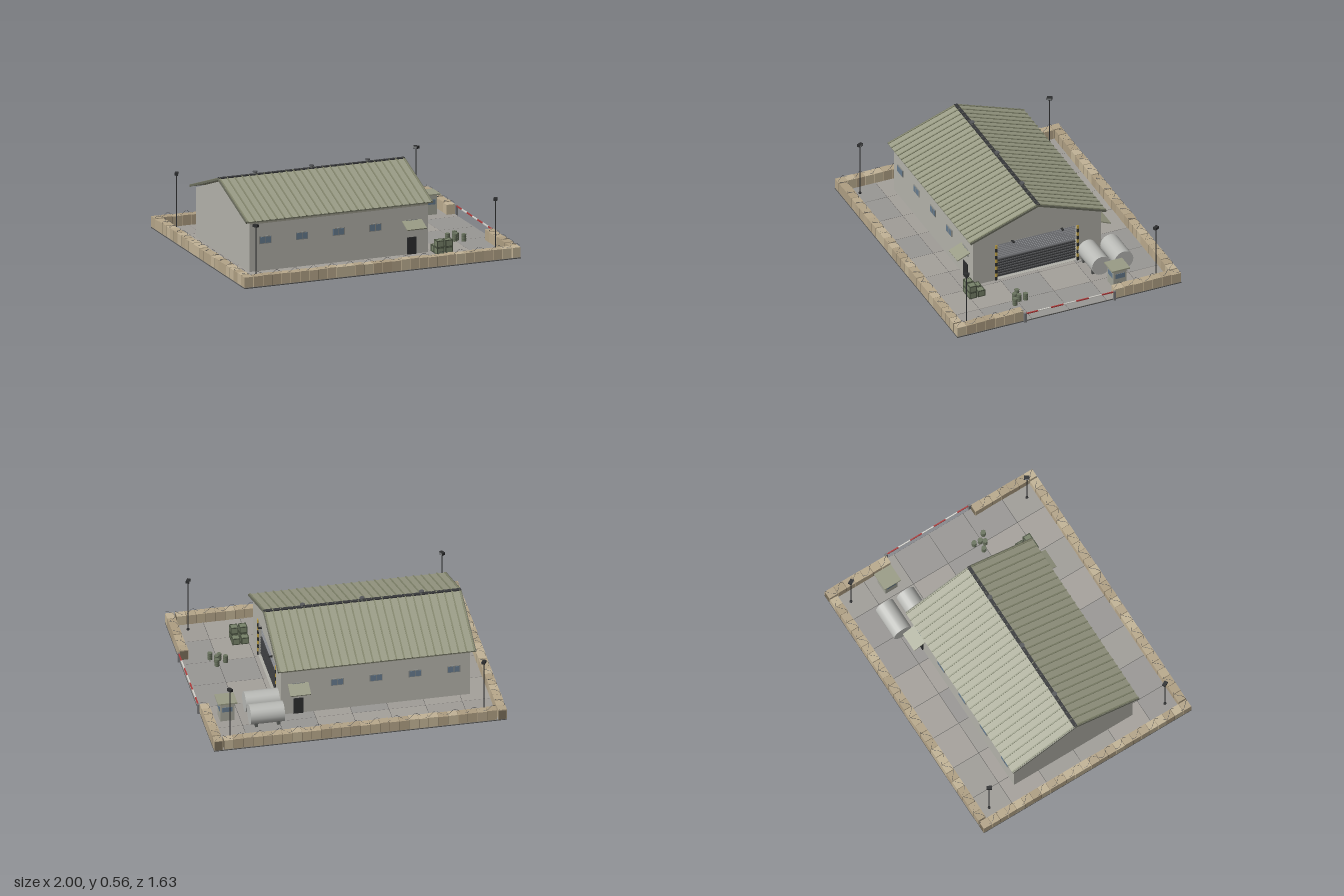
import * as THREE from 'three';

const mats = {};
const mat = (color) => (mats[color] ??= new THREE.MeshStandardMaterial({ color, side: THREE.DoubleSide }));
const TAN = [0xb9a98c, 0xae9e82, 0xc2b396, 0xb4a488];
const OLIVE = 0x9a9c86, DARK = 0x2c2d2e, WALL = 0xb3b2aa, GLASS = 0x667b8e, GREEN = 0x78836a, STEEL = 0xb9bab6;
const FLOOR = 0.008;

let seed = 7;
const rand = () => (seed = (seed * 16807) % 2147483647) / 2147483647;

function add(parent, name, geo, color, x = 0, y = 0, z = 0) {
  const m = new THREE.Mesh(geo, mat(color));
  m.name = name;
  m.position.set(x, y, z);
  parent.add(m);
  return m;
}
const box = (p, name, w, h, d, x, y, z, c) => add(p, name, new THREE.BoxGeometry(w, h, d), c, x, y, z);
const cyl = (p, name, r, h, x, y, z, c, n = 12) => add(p, name, new THREE.CylinderGeometry(r, r, h, n), c, x, y, z);
function group(parent, name, x = 0, y = 0, z = 0) {
  const g = new THREE.Group();
  g.name = name;
  g.position.set(x, y, z);
  parent.add(g);
  return g;
}

// Paved slab
function ground(root) {
  const g = group(root, 'ground');
  box(g, 'slab', 1.985, 0.006, 1.63, -0.0075, 0.003, 0, 0x555553);
  const nx = 8, nz = 6, w = 1.985 / nx, d = 1.63 / nz;
  for (let i = 0; i < nx; i++) for (let j = 0; j < nz; j++)
    box(g, 'pavingTile', w - 0.003, 0.004, d - 0.003, -1 + w * (i + 0.5), 0.006, -0.815 + d * (j + 0.5),
      [0xa09d98, 0x999794, 0xa5a19b][Math.floor(rand() * 3)]);
}

// Run of earth-filled blocks topped with a coil of wire
function barrier(root, name, x, z, length, alongX) {
  const g = group(root, name, x, 0, z);
  if (!alongX) g.rotation.y = Math.PI / 2;
  const n = Math.round(length / 0.066), step = length / n;
  for (let i = 0; i < n; i++) {
    const h = 0.068 + rand() * 0.006;
    const cx = -length / 2 + step * (i + 0.5);
    box(g, 'barrierBlock', step - 0.003, h, 0.056 + rand() * 0.004, cx, FLOOR + h / 2, 0, TAN[Math.floor(rand() * 4)]);
    box(g, 'blockSeam', 0.004, 0.066, 0.053, cx + step / 2 - 0.002, FLOOR + 0.033, 0, 0x776c58);
  }
  const pts = [], turns = Math.round(length / 0.13);
  for (let i = 0; i <= turns * 6; i++) {
    const a = (i / 6) * Math.PI * 2;
    pts.push(new THREE.Vector3(-length / 2 + (length * i) / (turns * 6), 0.088 + 0.012 * Math.sin(a), 0.024 * Math.cos(a)));
  }
  add(g, 'wireCoil', new THREE.TubeGeometry(new THREE.CatmullRomCurve3(pts), turns * 12, 0.0012, 4), 0x555555);
}

function gableShape() {
  const s = new THREE.Shape();
  s.moveTo(-0.465, FLOOR); s.lineTo(0.465, FLOOR); s.lineTo(0.465, 0.352);
  s.lineTo(0, 0.518); s.lineTo(-0.465, 0.352); s.closePath();
  return s;
}
function gableBlock(g, name, x0, x1, hole) {
  const s = gableShape();
  if (hole) s.holes.push(hole);
  const geo = new THREE.ExtrudeGeometry(s, { depth: x1 - x0, bevelEnabled: false });
  geo.rotateY(Math.PI / 2);
  add(g, name, geo, WALL, x0, 0, 0);
}

function hangar(root) {
  const g = group(root, 'hangar');
  // Walls and door opening
  const hole = new THREE.Path();
  hole.moveTo(-0.29, 0.009); hole.lineTo(-0.29, 0.285); hole.lineTo(0.29, 0.285); hole.lineTo(0.29, 0.009); hole.closePath();
  gableBlock(g, 'mainWalls', -0.82, 0.425);
  gableBlock(g, 'doorWall', 0.425, 0.46, hole);

  // Roller door: fine slats above, heavy ribs below
  box(g, 'rollerDoor', 0.006, 0.277, 0.58, 0.43, 0.147, 0, 0x8d8f93);
  for (let i = 0; i < 9; i++) box(g, 'doorSlat', 0.006, 0.012, 0.58, 0.435, 0.166 + i * 0.0138, 0, 0x9a9ca0);
  for (let i = 0; i < 7; i++) box(g, 'doorRib', 0.012, 0.009, 0.58, 0.438, 0.026 + i * 0.02, 0, 0x3c3d3f);
  // Hazard striping and door lamps
  for (const s of [-1, 1]) {
    for (let i = 0; i < 10; i++)
      box(g, 'hazardStripe', 0.01, 0.0277, 0.014, 0.461, FLOOR + 0.0277 * (i + 0.5), s * 0.297, i % 2 ? 0xc4a548 : DARK);
    box(g, 'doorLamp', 0.028, 0.008, 0.014, 0.472, 0.29, s * 0.18, DARK);
  }

  // Side windows, doors and canopies
  for (const s of [-1, 1]) {
    const side = group(g, s > 0 ? 'frontSide' : 'backSide');
    for (let i = 0; i < 5; i++) {
      const x = -0.71 + i * 0.2635;
      box(side, 'windowFrame', 0.088, 0.052, 0.008, x, 0.22, s * 0.467, 0x8c8d88);
      box(side, 'windowPane', 0.078, 0.042, 0.01, x, 0.22, s * 0.468, GLASS);
      box(side, 'windowBar', 0.004, 0.042, 0.012, x, 0.22, s * 0.468, 0x8c8d88);
    }
    box(side, 'sideDoor', 0.066, 0.117, 0.01, 0.343, 0.0665, s * 0.467, DARK);
    box(side, 'canopy', 0.14, 0.008, 0.1, 0.345, 0.22, s * 0.512, OLIVE).rotation.x = s * 0.4;
    box(side, 'eaveTrim', 1.28, 0.014, 0.008, -0.18, 0.343, s * 0.468, 0x99978a);
  }

  // Ribbed roof slopes
  const rise = 0.175, run = 0.495, len = Math.hypot(rise, run), ang = Math.atan2(rise, run);
  for (const s of [-1, 1]) {
    const slope = group(g, s > 0 ? 'frontRoof' : 'backRoof', -0.185, 0.36 + rise / 2, (s * run) / 2);
    slope.rotation.x = s * ang;
    box(slope, 'roofSheet', 1.34, 0.01, len, 0, -0.003, 0, OLIVE);
    for (let i = 0; i < 26; i++)
      box(slope, 'roofRib', 0.009, 0.006, len, -0.66 + i * 0.0528, 0.004, 0, 0x85886f);
    for (const e of [-1, 1])
      box(slope, 'vergeTrim', 0.006, 0.014, len, e * 0.669, -0.003, 0, 0x6b6d5e);
  }
  // Ridge cap in sections, with vents
  for (let i = 0; i < 20; i++)
    box(g, 'ridgeCap', 0.062, 0.01, 0.024, -0.8215 + i * 0.067, 0.536, 0, 0x37383a);
  box(g, 'ridgeBar', 1.34, 0.008, 0.016, -0.185, 0.534, 0, DARK);
  for (const x of [-0.588, -0.184, 0.22]) {
    cyl(g, 'ventPipe', 0.011, 0.025, x, 0.543, 0, 0x666866);
    cyl(g, 'ventCap', 0.017, 0.007, x, 0.555, 0, 0x55575a);
  }
}

function tank(root, z) {
  const g = group(root, 'storageTank', 0.575, 0.079, z);
  const body = cyl(g, 'tankBody', 0.069, 0.23, 0, 0, 0, STEEL, 20);
  body.rotation.z = Math.PI / 2;
  for (const x of [-0.075, 0.075]) box(g, 'tankCradle', 0.02, 0.04, 0.11, x, -0.051, 0, 0x5d5f5c);
}

function guardBooth(root) {
  const g = group(root, 'guardBooth', 0.825, 0, -0.42);
  box(g, 'boothBody', 0.096, 0.136, 0.096, 0, 0.076, 0, 0xa3a498);
  box(g, 'boothRoof', 0.13, 0.01, 0.13, 0, 0.149, 0, OLIVE);
  box(g, 'boothWindowX', 0.102, 0.034, 0.07, 0, 0.096, 0, GLASS);
  box(g, 'boothWindowZ', 0.07, 0.034, 0.102, 0, 0.096, 0, GLASS);
}

function crate(root, x, y, z) {
  const g = group(root, 'crate', x, y, z), s = 0.053, h = 0.047;
  box(g, 'crateBody', s - 0.004, h - 0.004, s - 0.004, 0, h / 2, 0, GREEN);
  for (const a of [-1, 1]) for (const b of [-1, 1]) {
    box(g, 'cornerPost', 0.006, h, 0.006, a * 0.0235, h / 2, b * 0.0235, 0x4a5241);
    box(g, 'crateRailX', s, 0.006, 0.006, 0, a > 0 ? h - 0.003 : 0.003, b * 0.0235, 0x4a5241);
    box(g, 'crateRailZ', 0.006, 0.006, s, b * 0.0235, a > 0 ? h - 0.003 : 0.003, 0, 0x4a5241);
  }
}

function barrel(root, x, z) {
  const g = group(root, 'barrel', x, FLOOR, z);
  cyl(g, 'drum', 0.016, 0.05, 0, 0.025, 0, 0x6b7560);
  for (const y of [0.002, 0.017, 0.033, 0.048]) cyl(g, 'drumHoop', 0.0172, 0.003, 0, y, 0, 0x59624f);
}

function floodlight(root, x, z) {
  const g = group(root, 'floodlight', x, 0, z);
  cyl(g, 'pole', 0.0035, 0.385, 0, 0.2, 0, DARK, 8);
  cyl(g, 'poleFoot', 0.01, 0.008, 0, 0.012, 0, DARK, 8);
  const head = group(g, 'lampHead', 0, 0.391, 0);
  head.rotation.y = Math.atan2(-x, -z) + (x * z > 0 ? 0.35 : -0.35) * 0.5;
  box(head, 'lampBox', 0.036, 0.018, 0.024, 0, 0, 0, DARK);
  box(head, 'lampGlass', 0.03, 0.012, 0.003, 0, 0, 0.012, 0x77797a);
}

// Striped gate boom on two posts
function gate(root) {
  const g = group(root, 'gate', 0.992, 0, 0);
  for (let i = 0; i < 7; i++)
    box(g, 'boomSection', 0.008, 0.008, 0.0925, 0, 0.065, 0.2775 - i * 0.0925, i % 2 ? 0xd8d6d0 : 0xb03a3a);
  for (const s of [-1, 1]) box(g, 'gatePost', 0.016, 0.07, 0.016, 0, 0.035, s * 0.325, 0x77787a);
}

export function createModel() {
  const root = new THREE.Group();
  root.name = 'militaryHangarCompound';
  ground(root);
  // Perimeter with an opening for the gate
  for (const s of [-1, 1]) {
    barrier(root, s > 0 ? 'frontBarrier' : 'backBarrier', -0.0075, s * 0.785, 1.85, true);
    barrier(root, s > 0 ? 'gateBarrierFront' : 'gateBarrierBack', 0.955, s * 0.573, 0.484, false);
  }
  barrier(root, 'endBarrier', -0.97, 0, 1.63, false);
  gate(root);
  hangar(root);
  for (const z of [-0.53, -0.367]) tank(root, z);
  guardBooth(root);
  for (const x of [0.517, 0.577]) {
    crate(root, x, FLOOR, 0.467);
    for (const level of [0, 1]) crate(root, x, FLOOR + level * 0.048, 0.527);
  }
  for (const [x, z] of [[0.69, 0.25], [0.755, 0.215], [0.75, 0.26], [0.728, 0.284], [0.785, 0.305]]) barrel(root, x, z);
  for (const x of [-0.868, 0.853]) for (const z of [-0.69, 0.69]) floodlight(root, x, z);
  return root;
}
